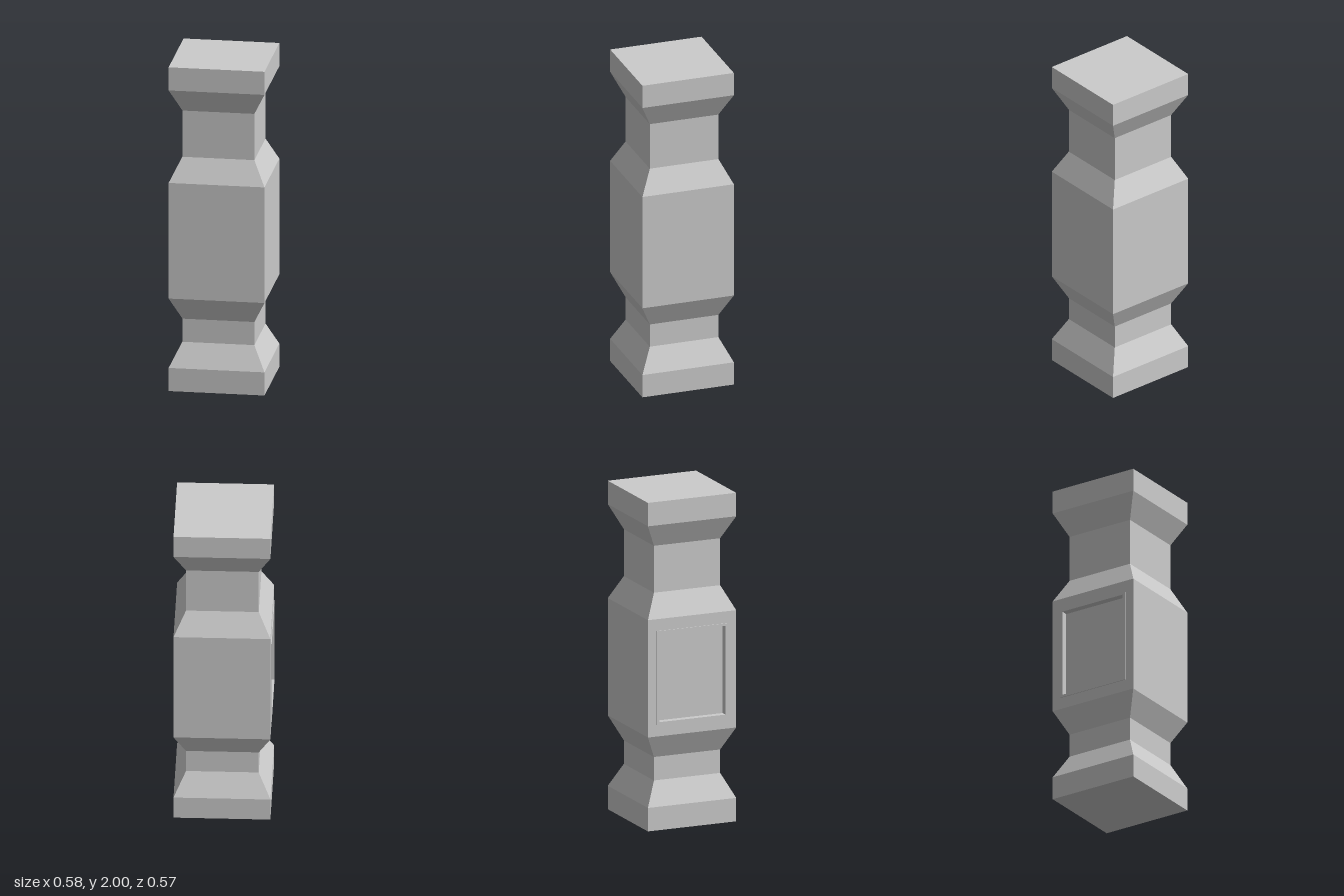
import * as THREE from 'three';

const U = 1 / 7;            // the post is laid out in sevenths
const WIDE = 2 * U, NARROW = 1.5 * U;
const OFFSET = 0.0025;      // the raised rim shifts the body slightly to +x
const RECESS = 0.036, RIM = 0.005;

const material = new THREE.MeshStandardMaterial({ color: 0xcccccc, flatShading: true });

function addMesh(group, name, geometry) {
  const flat = geometry.index ? geometry.toNonIndexed() : geometry;
  flat.computeVertexNormals();
  const mesh = new THREE.Mesh(flat, material);
  mesh.name = name;
  group.add(mesh);
  return mesh;
}

// Square turned section from [halfWidth, y] pairs, bottom to top
function squareSection(profile) {
  const points = profile.map(([half, y]) => new THREE.Vector2(half * Math.SQRT2, y));
  return new THREE.LatheGeometry(points, 4, Math.PI / 4);
}

// Rectangular plate with a rectangular opening, extruded towards -x
function openPlate(halfZ, halfY, holeZ, holeY, depth) {
  const corners = (a, b) => [[-a, -b], [a, -b], [a, b], [-a, b]].map(([x, y]) => new THREE.Vector2(x, y));
  const shape = new THREE.Shape(corners(halfZ, halfY));
  shape.holes.push(new THREE.Path(corners(holeZ, holeY).reverse()));
  return new THREE.ExtrudeGeometry(shape, { depth, bevelEnabled: false }).rotateY(-Math.PI / 2);
}

export function createModel() {
  const model = new THREE.Group();
  model.name = 'squarePost';
  const body = new THREE.Group();
  body.name = 'body';
  body.position.x = OFFSET;
  model.add(body);

  // Foot, lower neck and flare up to the middle block
  addMesh(body, 'base', squareSection([
    [0, 0], [WIDE, 0], [WIDE, U], [NARROW, 2 * U], [NARROW, 3 * U], [WIDE, 4 * U],
  ]));

  // Taper, upper neck and cap
  addMesh(body, 'capital', squareSection([
    [WIDE, 9 * U], [NARROW, 10 * U], [NARROW, 12 * U], [WIDE, 13 * U], [WIDE, 14 * U], [0, 14 * U],
  ]));

  // Middle block: solid core plus a side plate with the recess opening
  const midY = 6.5 * U, halfY = 2.5 * U;
  const core = new THREE.BoxGeometry(2 * WIDE - RECESS, 2 * halfY, 2 * WIDE);
  addMesh(body, 'middleBlock', core).position.set(RECESS / 2, midY, 0);

  const rimZ = 0.229, rimY = 0.285, rimWidth = 0.015;
  const holeZ = rimZ - rimWidth, holeY = rimY - rimWidth;
  addMesh(body, 'recessedSide', openPlate(WIDE, halfY, holeZ, holeY, RECESS))
    .position.set(-WIDE + RECESS, midY, 0);

  // Thin raised rim around the recess
  addMesh(body, 'recessRim', openPlate(rimZ, rimY, holeZ, holeY, RIM))
    .position.set(-WIDE, midY, 0);

  return model;
}
